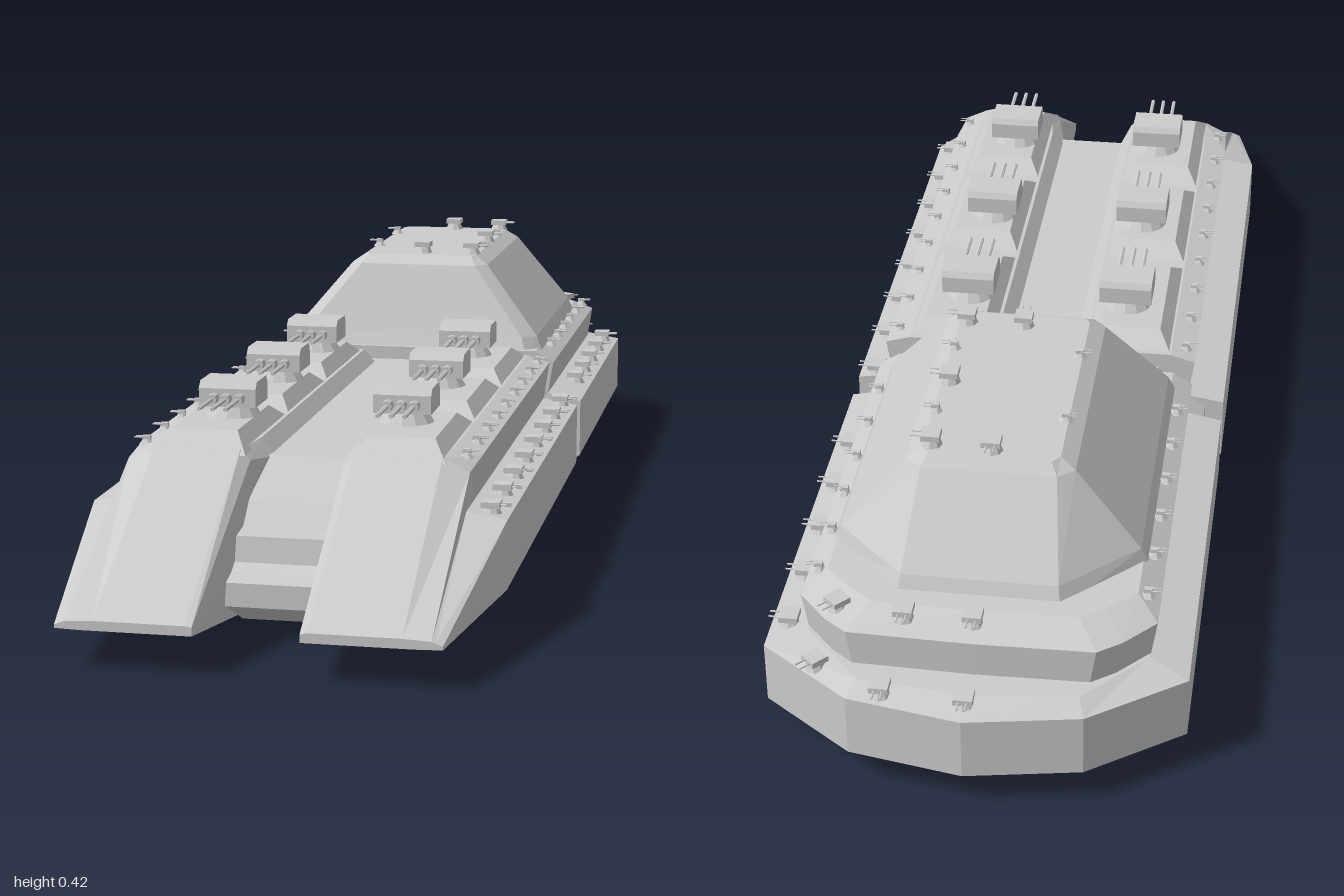
import * as THREE from 'three';

const mat = new THREE.MeshStandardMaterial({ color: 0xcccccc, flatShading: true, roughness: 0.8 });

function add(parent, geo, name, x = 0, y = 0, z = 0) {
  const m = new THREE.Mesh(geo, mat);
  m.name = name;
  m.position.set(x, y, z);
  parent.add(m);
  return m;
}

// Skins a list of equal-length closed rings, caps both ends and turns faces outward
function loft(rings) {
  const tris = [];
  const n = rings[0].length;
  for (let i = 0; i < rings.length - 1; i++) {
    for (let j = 0; j < n; j++) {
      const k = (j + 1) % n, a = rings[i], b = rings[i + 1];
      tris.push([a[j], a[k], b[k]], [a[j], b[k], b[j]]);
    }
  }
  const cap = (r, flip) => {
    const c = [0, 1, 2].map((d) => r.reduce((s, p) => s + p[d], 0) / n);
    for (let j = 0; j < n; j++) {
      const k = (j + 1) % n;
      tris.push(flip ? [c, r[k], r[j]] : [c, r[j], r[k]]);
    }
  };
  cap(rings[0], true);
  cap(rings[rings.length - 1], false);
  const v = (p) => new THREE.Vector3(...p);
  const volume = tris.reduce((s, [a, b, c]) => s + v(a).dot(v(b).cross(v(c))), 0);
  const pos = tris.flatMap((t) => (volume < 0 ? [t[0], t[2], t[1]] : t)).flat();
  const g = new THREE.BufferGeometry();
  g.setAttribute('position', new THREE.Float32BufferAttribute(pos, 3));
  g.computeVertexNormals();
  return g;
}

// Horizontal ring from points on the +x side, mirrored to the -x side
function layer(y, half) {
  const right = half.map(([x, z]) => [x, y, z]);
  const left = half.filter(([x]) => x > 0).reverse().map(([x, z]) => [-x, y, z]);
  return [...right, ...left];
}

// Stern-shaped layer: straight sides closing in a faceted round end
const sternLayer = (y, w, zc, xm, zm, ze, zf = -0.205) =>
  layer(y, [[w, zf], [w, zc], [xm, zm], [0, ze]]);

// Profile given as (z, y), extruded symmetrically across x
function acrossX(profile, width) {
  const s = new THREE.Shape(profile.map(([z, y]) => new THREE.Vector2(-z, y)));
  const g = new THREE.ExtrudeGeometry(s, { depth: width, bevelEnabled: false });
  return g.translate(0, 0, -width / 2).rotateY(Math.PI / 2);
}

function barrel(parent, x, y, z, length, r) {
  const g = new THREE.CylinderGeometry(r, r, length, 6).rotateX(Math.PI / 2);
  add(parent, g, 'barrel', x, y, z + length / 2);
}

// Triple-barrelled main turret, facing +z
function mainTurret() {
  const g = new THREE.Group();
  g.name = 'mainTurret';
  add(g, new THREE.CylinderGeometry(0.03, 0.042, 0.018, 12), 'turretRing', 0, 0.009, 0);
  add(g, acrossX([[-0.036, 0.018], [0.038, 0.018], [0.038, 0.046], [0.028, 0.056], [-0.03, 0.056], [-0.036, 0.046]], 0.088), 'turretHouse');
  for (const x of [-0.02, 0, 0.02]) {
    add(g, new THREE.CylinderGeometry(0.008, 0.008, 0.02, 8).rotateX(Math.PI / 2), 'barrelSleeve', x, 0.032, 0.046);
    barrel(g, x, 0.032, 0.038, 0.087, 0.0035);
  }
  return g;
}

// Twin-barrelled secondary turret, facing +z
function lightTurret() {
  const g = new THREE.Group();
  g.name = 'lightTurret';
  add(g, new THREE.CylinderGeometry(0.011, 0.017, 0.012, 8), 'turretRing', 0, 0.006, 0);
  add(g, new THREE.BoxGeometry(0.028, 0.009, 0.028), 'turretHouse', 0, 0.016, 0);
  for (const x of [-0.006, 0.006]) barrel(g, x, 0.016, 0.012, 0.018, 0.0015);
  return g;
}

// Tiny point-defence gun, facing +z
function smallGun() {
  const g = new THREE.Group();
  g.name = 'smallGun';
  add(g, new THREE.CylinderGeometry(0.005, 0.012, 0.008, 6), 'gunMount', 0, 0.003, 0);
  add(g, new THREE.BoxGeometry(0.008, 0.007, 0.012), 'gunBody', 0, 0.009, 0);
  for (const x of [-0.004, 0.004]) barrel(g, x, 0.01, 0.004, 0.014, 0.0012);
  return g;
}

function place(parent, obj, x, y, z, yaw = 0) {
  obj.position.set(x, y, z);
  obj.rotation.y = yaw;
  parent.add(obj);
}

// Cross-section of one forward hull: [x, y] from keel round to the channel floor
const fullSection = [
  [0.08, 0.001], [0.14, 0.012], [0.24, 0.013], [0.31, 0.056], [0.31, 0.16], [0.25, 0.17],
  [0.26, 0.235], [0.22, 0.247], [0.075, 0.247], [0.05, 0.22], [0.05, 0.1],
];
const shoulderSection = [
  [0.08, 0.002], [0.14, 0.012], [0.24, 0.014], [0.31, 0.056], [0.31, 0.16], [0.25, 0.17],
  [0.255, 0.228], [0.215, 0.247], [0.085, 0.247], [0.07, 0.232], [0.074, 0.1],
];
const tipSection = [
  [0.075, 0.056], [0.12, 0.056], [0.23, 0.056], [0.27, 0.057], [0.27, 0.062], [0.26, 0.066],
  [0.255, 0.068], [0.215, 0.07], [0.085, 0.07], [0.075, 0.068], [0.075, 0.062],
];

export function createModel() {
  const ship = new THREE.Group();
  ship.name = 'warship';
  const ringAt = (section, z, side) => section.map(([x, y]) => [x * side, y, z]);

  for (const side of [1, -1]) {
    // Twin forward hulls with wedge prows
    add(ship, loft([
      ringAt(fullSection, -0.155, side), ringAt(fullSection, 0.6, side),
      ringAt(shoulderSection, 0.69, side), ringAt(tipSection, 1, side),
    ]), 'forwardHull');

    // Raised turret platforms and main turrets
    for (const [zc, z0, z1] of [[-0.03, -0.155, 0.14], [0.25, 0.14, 0.42], [0.54, 0.42, 0.7]]) {
      const rect = (y, xa, xb, a, b) => [[xa, a], [xb, a], [xb, b], [xa, b]].map(([x, z]) => [x * side, y, z]);
      add(ship, loft([
        rect(0.24, 0.075, 0.222, z0, z1),
        rect(0.268, 0.098, 0.198, z0 + 0.045, z1 - 0.045),
      ]), 'turretPlatform');
      place(ship, mainTurret(), side * 0.134, 0.268, zc);
    }

    // Small guns along the upper deck edges
    for (let i = 0; i < 16; i++) {
      const z = 0.64 - i * 0.095;
      if (Math.abs(z + 0.18) > 0.035) place(ship, smallGun(), side * 0.242, 0.239, z, side * Math.PI / 2);
    }
    for (const z of [-0.415, -0.59]) place(ship, smallGun(), side * 0.098, 0.4, z, side * Math.PI / 2);
  }

  // Stepped ramp and floor between the forward hulls
  add(ship, acrossX([
    [-0.155, 0], [0.72, 0], [0.82, 0.047], [0.82, 0.082], [0.79, 0.09], [0.772, 0.1], [0.765, 0.137],
    [0.725, 0.142], [0.695, 0.172], [0.625, 0.226], [-0.155, 0.226],
  ], 0.152), 'centreChannel');

  // Recessed joint between forward and rear hull
  const joint = [[0.08, 0.001], [0.24, 0.013], [0.28, 0.04], [0.28, 0.15], [0.25, 0.17], [0.2, 0.222]];
  const jointRing = [...joint, ...joint.slice().reverse().map(([x, y]) => [-x, y])];
  add(ship, loft([ringAt(jointRing, -0.21, 1), ringAt(jointRing, -0.15, 1)]), 'hullJoint');

  // Rear hull and its upper tier
  add(ship, loft([
    sternLayer(0, 0.08, -0.78, 0.05, -0.84, -0.86),
    sternLayer(0.012, 0.24, -0.81, 0.14, -0.88, -0.9),
    sternLayer(0.058, 0.31, -0.87, 0.17, -0.97, -1),
    sternLayer(0.157, 0.31, -0.87, 0.17, -0.97, -1),
    sternLayer(0.17, 0.25, -0.84, 0.16, -0.94, -0.955),
  ]), 'rearHull');
  const tier = (y, w, zc, xm, ze) =>
    layer(y, [[w, -0.205], [w, zc], [xm + 0.035, ze + 0.03], [xm, ze + 0.004], [0, ze]]);
  add(ship, loft([
    tier(0.16, 0.25, -0.83, 0.17, -0.91),
    tier(0.225, 0.26, -0.83, 0.18, -0.91),
    tier(0.245, 0.228, -0.79, 0.15, -0.86),
  ]), 'rearUpperTier');

  // Tapered superstructure
  const citadelLayer = (y, xf, zf, w, z1, z2, xb, zb) =>
    layer(y, [[xf, zf], [w, z1], [w, z2], [xb, zb]]);
  add(ship, loft([
    citadelLayer(0.232, 0.21, -0.208, 0.238, -0.24, -0.71, 0.12, -0.83),
    citadelLayer(0.265, 0.2, -0.225, 0.224, -0.25, -0.71, 0.115, -0.815),
    citadelLayer(0.385, 0.105, -0.28, 0.125, -0.3, -0.695, 0.1, -0.715),
    citadelLayer(0.4, 0.095, -0.305, 0.102, -0.315, -0.685, 0.09, -0.7),
  ]), 'superstructure');

  // Secondary turrets: left-side row, then stern and roof as [x, y, z, yaw]
  const out = Math.PI / 2;
  for (let i = 0; i < 14; i++) {
    if (i !== 8) place(ship, lightTurret(), 0.282, 0.16, 0.66 - i * 0.1138, out);
  }
  for (const [x, y, z, yaw] of [
    [0, 0.16, -0.967, Math.PI], [0.122, 0.16, -0.957, Math.PI], [0.225, 0.16, -0.91, 2.4],
    [0, 0.234, -0.875, Math.PI], [0.1, 0.234, -0.875, Math.PI], [0.2, 0.228, -0.858, 2.4],
    [0, 0.4, -0.68, Math.PI], [0.09, 0.4, -0.675, out], [0.09, 0.4, -0.507, out],
    [0, 0.4, -0.335, 0], [0.09, 0.4, -0.335, out],
  ]) place(ship, lightTurret(), x, y, z, yaw);

  return ship;
}
